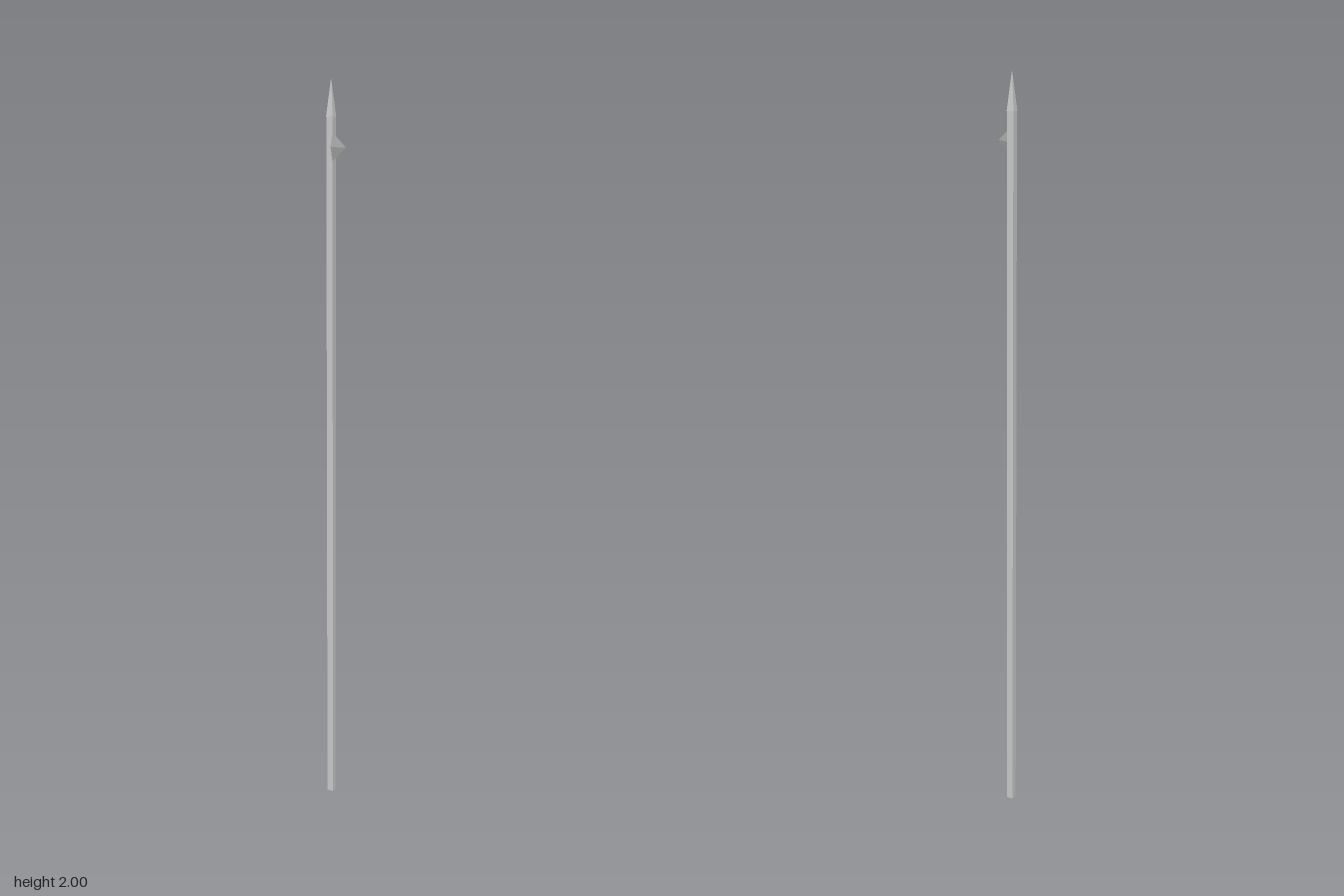
import * as THREE from 'three';

export function createModel() {
  const group = new THREE.Group();
  const material = new THREE.MeshStandardMaterial({ color: 0xcccccc, flatShading: true });
  const poleZ = -0.062;
  const headBase = 1.9;

  const add = (name, geometry, x, y, z) => {
    const mesh = new THREE.Mesh(geometry, material);
    mesh.name = name;
    mesh.position.set(x, y, z);
    group.add(mesh);
  };

  // Four-sided shaft with its corners facing the axes
  add('shaft', new THREE.CylinderGeometry(0.013, 0.013, headBase, 4), 0, headBase / 2, poleZ);

  // Pointed head, a touch wider than the shaft
  add('spearhead', new THREE.ConeGeometry(0.014, 2 - headBase, 4), 0, (2 + headBase) / 2, poleZ);

  // Flat side spike pointing forward, diamond in section
  const length = 0.138;
  const spike = new THREE.ConeGeometry(1, length, 4).rotateX(Math.PI / 2).scale(0.0045, 0.041, 1);
  add('sideSpike', spike, 0, 1.823, poleZ + length / 2);

  return group;
}
